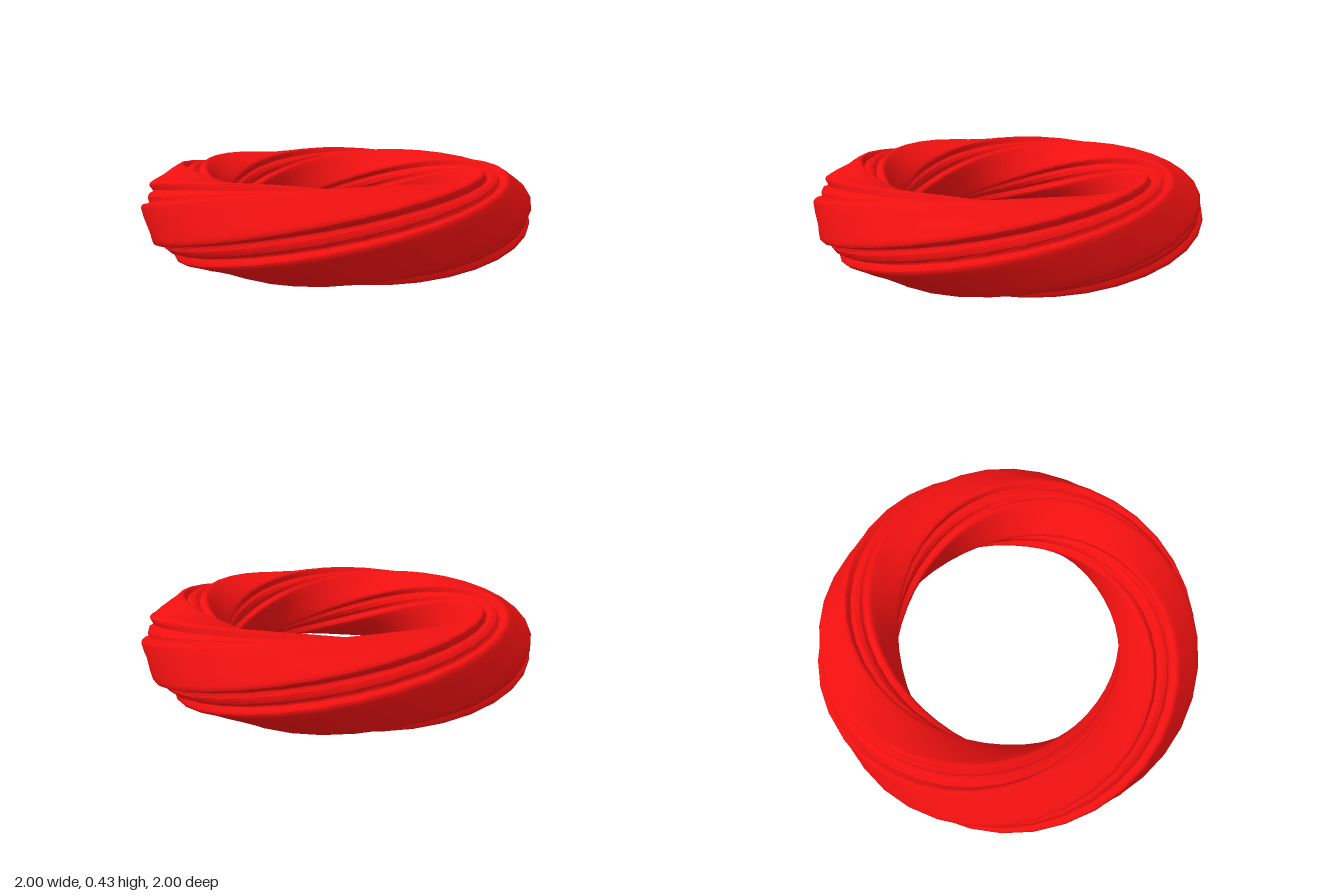
import * as THREE from 'three';
import { toCreasedNormals } from 'three/addons/utils/BufferGeometryUtils.js';

const RING = 0.795, MID_Y = 0.219, SEGMENTS = 40;

// One quarter of the section: ridge, groove, rounded lip, broad band, lip, groove, ridge
const QUARTER = [
  [0.195, 0], [0.194, 0.014], [0.18, 0.029], [0.18, 0.036], [0.199, 0.049], [0.205, 0.058],
  [0.204, 0.07], [0.196, 0.082], [0.17, 0.112], [0.141, 0.141],
];

function sectionPoints() {
  const mirrored = QUARTER.slice(1, -1).reverse().map(([u, v]) => [v, u]);
  const quarter = [...QUARTER, ...mirrored];
  const points = [];
  for (let q = 0; q < 4; q++) {
    for (const [u, v] of quarter) {
      points.push(new THREE.Vector2(u, v).rotateAround(new THREE.Vector2(), q * Math.PI / 2));
    }
  }
  return points;
}

// Sweep the section round the ring, giving it one full twist
function twistedRing() {
  const section = sectionPoints(), n = section.length;
  const positions = [], index = [];
  for (let i = 0; i < SEGMENTS; i++) {
    const a = (i / SEGMENTS) * Math.PI * 2;
    const c = Math.cos(a), s = Math.sin(a);
    section.forEach((p, j) => {
      const r = RING + p.x * c - p.y * s;
      const y = MID_Y + p.x * s + p.y * c;
      positions.push(r * s, y, r * c);
      const k = (j + 1) % n, next = ((i + 1) % SEGMENTS) * n;
      index.push(i * n + j, next + j, next + k, i * n + j, next + k, i * n + k);
    });
  }
  const geometry = new THREE.BufferGeometry();
  geometry.setAttribute('position', new THREE.Float32BufferAttribute(positions, 3));
  geometry.setIndex(index);
  return toCreasedNormals(geometry, 0.7);
}

export function createModel() {
  const group = new THREE.Group();
  group.name = 'twistedBangle';
  const ring = new THREE.Mesh(twistedRing(), new THREE.MeshStandardMaterial({ color: 0xf01010 }));
  ring.name = 'twistedRing';
  group.add(ring);
  return group;
}
